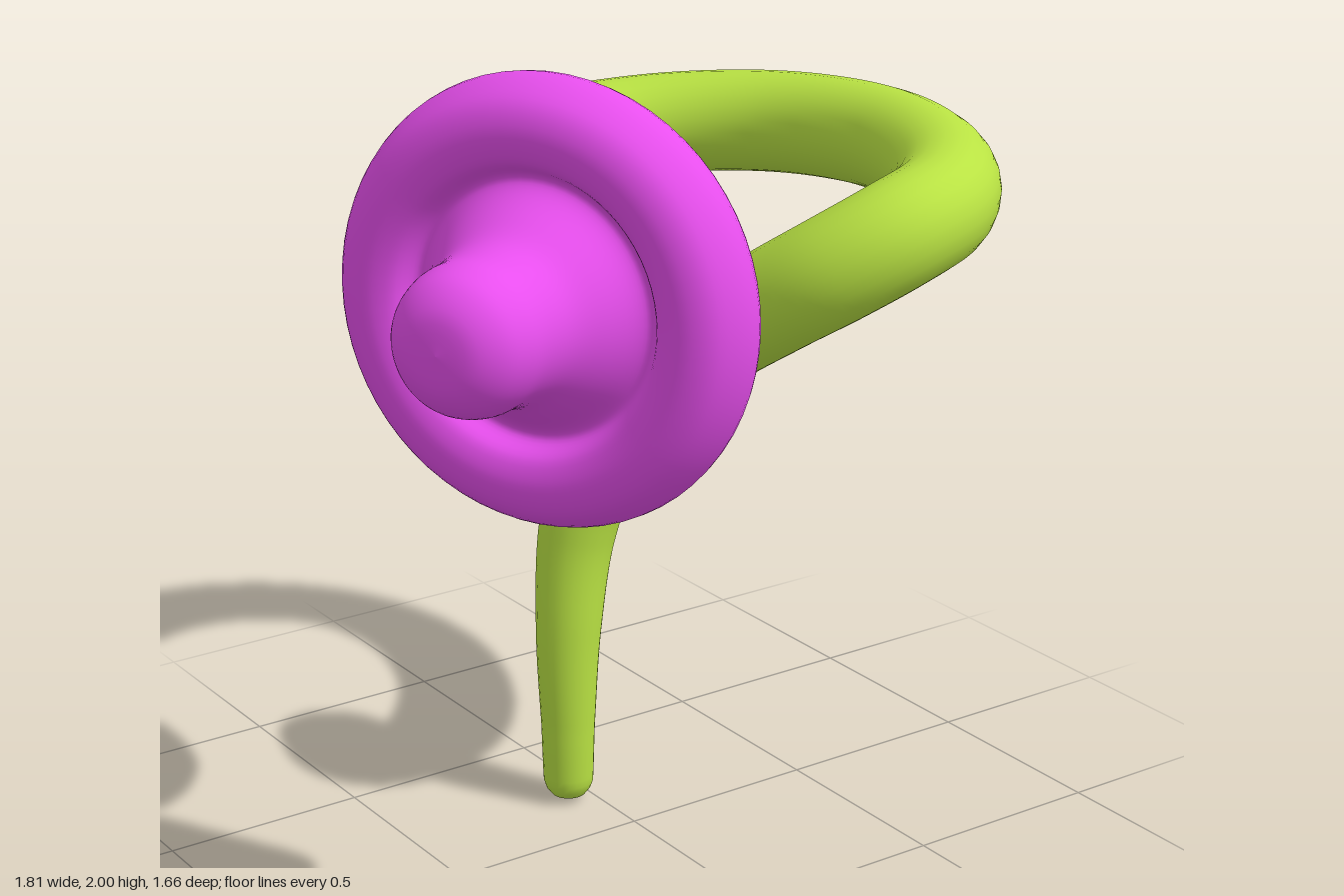
import * as THREE from 'three';
import { mergeVertices } from 'three/addons/utils/BufferGeometryUtils.js';

const green = new THREE.MeshStandardMaterial({ color: 0xb9e243 });
const pink = new THREE.MeshStandardMaterial({ color: 0xe84fee });

// Stem path, one row per station: x, y, z, radius
const stations = [
  [-0.06, 0, -0.2, 0.06], [-0.06, 0.2, -0.2, 0.066], [-0.05, 0.45, -0.21, 0.08],
  [-0.015, 0.7, -0.22, 0.095], [0.025, 0.87, -0.19, 0.105], [0.075, 1.06, -0.08, 0.115],
  [0.12, 1.23, 0.1, 0.12], [0.165, 1.385, 0.32, 0.123], [0.235, 1.475, 0.44, 0.125],
  [0.36, 1.545, 0.495, 0.126], [0.52, 1.575, 0.45, 0.126], [0.69, 1.588, 0.25, 0.126],
  [0.775, 1.59, -0.07, 0.126], [0.7, 1.575, -0.4, 0.126], [0.48, 1.55, -0.635, 0.126],
  [0.2, 1.525, -0.71, 0.125], [-0.07, 1.485, -0.63, 0.125], [-0.21, 1.46, -0.45, 0.123],
  [-0.245, 1.455, -0.25, 0.12], [-0.225, 1.46, 0, 0.103], [-0.24, 1.475, 0.15, 0.09],
  [-0.31, 1.49, 0.265, 0.075], [-0.4, 1.505, 0.335, 0.06], [-0.49, 1.51, 0.385, 0.05],
];

// Tube whose thickness follows the stations, with a rounded foot
function taperedTube(rows, segments, sides) {
  const curve = new THREE.CatmullRomCurve3(rows.map(r => new THREE.Vector3(r[0], r[1], r[2])));
  const geometry = new THREE.TubeGeometry(curve, segments, 1, sides, false);
  const pos = geometry.attributes.position;
  const v = new THREE.Vector3();
  const foot = rows[0][3];
  for (let i = 0; i <= segments; i++) {
    const centre = curve.getPointAt(i / segments);
    const t = curve.getUtoTmapping(i / segments) * (rows.length - 1);
    const k = Math.min(Math.floor(t), rows.length - 2);
    let radius = THREE.MathUtils.lerp(rows[k][3], rows[k + 1][3], t - k);
    if (centre.y < foot) radius *= Math.sqrt(Math.max(0, 1 - (1 - centre.y / foot) ** 2));
    for (let j = 0; j <= sides; j++) {
      const n = i * (sides + 1) + j;
      v.fromBufferAttribute(pos, n).sub(centre).multiplyScalar(radius).add(centre);
      pos.setXYZ(n, v.x, v.y, v.z);
    }
  }
  geometry.deleteAttribute('uv');
  geometry.deleteAttribute('normal');
  const smooth = mergeVertices(geometry, 1e-5);
  smooth.computeVertexNormals();
  return smooth;
}

// Flower profile: recessed back, thick round rim, groove, flared centre knob
function flowerGeometry() {
  const profile = new THREE.SplineCurve([
    [0, -0.06], [0.15, -0.06], [0.28, -0.065], [0.33, -0.1], [0.385, -0.115],
    [0.45, -0.085], [0.49, 0], [0.45, 0.085], [0.385, 0.115], [0.32, 0.1],
    [0.285, 0.055], [0.255, 0.065], [0.215, 0.125], [0.18, 0.19], [0.165, 0.26],
    [0.16, 0.33], [0.135, 0.39], [0.08, 0.43], [0, 0.44],
  ].map(p => new THREE.Vector2(p[0], p[1])));
  const points = profile.getPoints(90);
  points.forEach(p => { p.x = Math.max(0, p.x); });
  return new THREE.LatheGeometry(points, 64);
}

export function createModel() {
  const group = new THREE.Group();
  group.name = 'curledFlower';

  // Looping stem
  const stem = new THREE.Mesh(taperedTube(stations, 300, 24), green);
  stem.name = 'stem';
  group.add(stem);

  // Flower head, facing outward from the stem end
  const flower = new THREE.Mesh(flowerGeometry(), pink);
  flower.name = 'flowerHead';
  flower.position.set(-0.49, 1.51, 0.385);
  flower.quaternion.setFromUnitVectors(
    new THREE.Vector3(0, 1, 0), new THREE.Vector3(-0.89, 0.02, 0.46).normalize());
  group.add(flower);

  return group;
}
